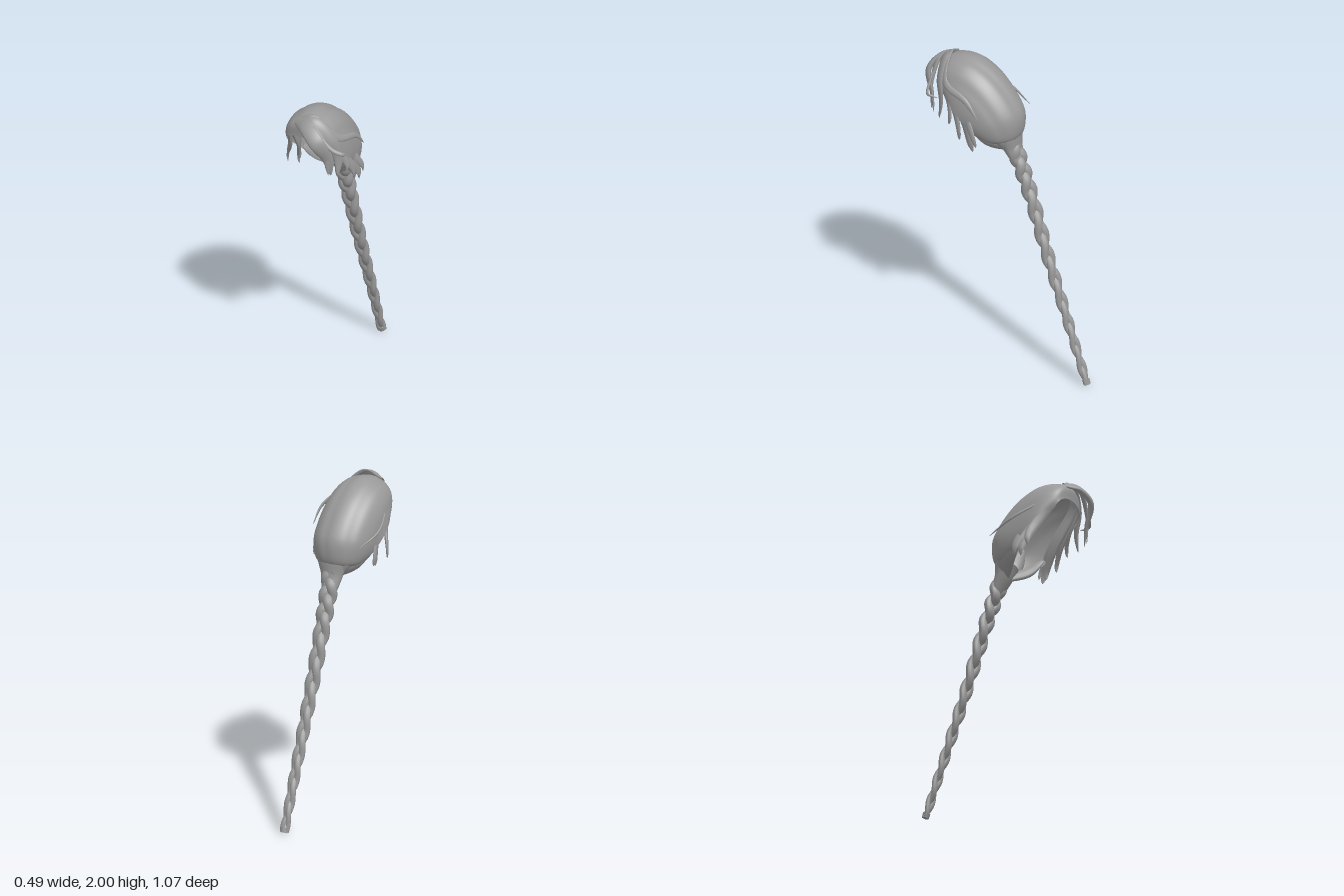
import * as THREE from 'three';

const V = (x, y, z) => new THREE.Vector3(x, y, z);
const curve = (...pts) => new THREE.CatmullRomCurve3(pts);
const HEAD = V(-0.01, 1.7, 0.2);

// Smooth surface from a grid of points, f(u, v) with u and v in 0..1
function surface(f, nu, nv) {
  const pos = [], idx = [];
  for (let i = 0; i <= nu; i++) {
    for (let j = 0; j <= nv; j++) {
      const p = f(i / nu, j / nv);
      pos.push(p.x, p.y, p.z);
      if (i < nu && j < nv) {
        const a = i * (nv + 1) + j, b = a + nv + 1;
        idx.push(a, a + 1, b, b, a + 1, b + 1);
      }
    }
  }
  const g = new THREE.BufferGeometry();
  g.setAttribute('position', new THREE.Float32BufferAttribute(pos, 3));
  g.setIndex(idx);
  g.computeVertexNormals();
  return g;
}

// Oval tube along a path; its flat side faces away from the head or along a given direction
function sweep(path, width, thick, nu, nv, facing) {
  return surface((u, v) => {
    const p = path.getPoint(u), t = path.getTangent(u);
    const n = facing ? facing.clone() : p.clone().sub(HEAD);
    n.addScaledVector(t, -n.dot(t)).normalize();
    const s = n.clone().cross(t);
    const a = v * Math.PI * 2;
    return p.addScaledVector(s, Math.cos(a) * width(u)).addScaledVector(n, Math.sin(a) * thick(u));
  }, nu, nv);
}

export function createModel() {
  const root = new THREE.Group();
  root.name = 'braidedHair';
  const hair = new THREE.MeshStandardMaterial({ color: 0x999999, side: THREE.DoubleSide });
  hair.name = 'hairGrey';
  const add = (name, geo, parent = root) => {
    const m = new THREE.Mesh(geo, hair);
    m.name = name;
    parent.add(m);
    return m;
  };
  const group = (name) => {
    const g = new THREE.Group();
    g.name = name;
    root.add(g);
    return g;
  };

  // Scalp shell: arcs spanning from the ridge line over the head down to the side hairline
  const ridge = curve(V(0, 1.855, 0.455), V(0, 1.94, 0.45), V(0, 1.98, 0.36), V(0, 1.975, 0.25),
    V(0, 1.89, 0.1), V(0, 1.71, -0.045), V(0, 1.62, -0.062), V(0, 1.53, -0.04), V(0, 1.5, 0.05));
  const edge = curve(V(0.14, 1.77, 0.4), V(0.185, 1.73, 0.33), V(0.2, 1.67, 0.26),
    V(0.18, 1.58, 0.17), V(0.13, 1.51, 0.11));
  add('scalpShell', surface((u, v) => {
    const S = ridge.getPoint(u), E = edge.getPoint(u);
    const a = (v - 0.5) * Math.PI;
    const c = Math.pow(Math.max(Math.cos(a), 0), 0.85 - 0.25 * Math.pow(1 - u, 6));
    const ripple = 1 - 0.02 * Math.pow(Math.sin(a * 4 + u * 2), 6) * Math.sin(u * Math.PI);
    return V(-0.01 + E.x * Math.sin(a) * ripple,
      E.y + (S.y - E.y) * c * ripple, E.z + (S.z - E.z) * c * ripple);
  }, 48, 48));

  // Gathered nape leading into the braid
  const gather = curve(V(-0.01, 1.535, 0.015), V(-0.015, 1.46, -0.002), V(-0.022, 1.36, -0.045));
  add('napeGather', sweep(gather,
    (u) => 0.1 - 0.055 * u, (u) => 0.062 - 0.03 * u, 16, 24, V(0, 0.3, -1)));

  // Three strand braid, tapering towards the tip
  const braid = group('braid');
  const spine = curve(V(-0.015, 1.49, 0.0), V(-0.025, 1.2, -0.105), V(-0.025, 0.8, -0.235),
    V(-0.025, 0.4, -0.375), V(-0.027, 0.01, -0.51));
  const back = V(0, 0.33, -0.94);
  const taper = (u) => 1 - 0.52 * u;
  for (let k = 0; k < 3; k++) {
    const pts = [];
    for (let i = 0; i <= 90; i++) {
      const u = i / 90, t = u * Math.PI * 2 * 3.9 + k * Math.PI * 2 / 3;
      const p = spine.getPoint(u);
      p.x += 0.027 * taper(u) * Math.sin(t);
      pts.push(p.addScaledVector(back, 0.017 * taper(u) * Math.sin(2 * t)));
    }
    add('braidStrand', sweep(curve(...pts),
      (u) => 0.033 * taper(u), (u) => 0.03 * taper(u), 150, 12, back), braid);
  }
  const tip = add('braidTip', new THREE.CylinderGeometry(0.023, 0.021, 0.03, 12));
  tip.position.set(-0.027, 0.019, -0.508);
  tip.rotation.x = 0.33;

  // Flat locks of loose hair, broad in the middle and pointed at the tip
  const locks = group('looseLocks');
  const shape = (u) => Math.pow(Math.sin(Math.PI * (0.1 + 0.9 * u)), 0.6) * (1 - 0.2 * u) + 0.01;
  const addLock = (name, w, path) => add(name,
    sweep(path, (u) => w * shape(u), (u) => (0.004 + w * 0.28) * shape(u), 32, 10), locks);

  // Fringe swept from the parting across to the left
  const parting = V(-0.07, 1.945, 0.43);
  addLock('frontFringe', 0.05, curve(parting, V(0.02, 1.945, 0.48), V(0.105, 1.88, 0.512), V(0.15, 1.76, 0.46), V(0.16, 1.64, 0.44)));
  addLock('middleFringe', 0.045, curve(parting, V(0.04, 1.965, 0.43), V(0.14, 1.86, 0.41), V(0.175, 1.74, 0.38), V(0.18, 1.62, 0.39)));
  addLock('innerFringe', 0.035, curve(parting, V(0.03, 1.955, 0.47), V(0.13, 1.84, 0.47), V(0.155, 1.65, 0.46)));
  addLock('longFringe', 0.024, curve(parting, V(0.03, 1.985, 0.41), V(0.16, 1.86, 0.36), V(0.195, 1.8, 0.2), V(0.2, 1.7, 0.11)));
  addLock('frontCurl', 0.014, curve(V(0.08, 1.93, 0.47), V(0.18, 1.83, 0.46), V(0.24, 1.8, 0.43), V(0.22, 1.78, 0.38)));

  // Side locks fall from the front hairline, curving around the head to a hooked tip
  const sideLock = (name, w, tipX, tipY, tipZ) => {
    const side = Math.sign(tipX), pts = [];
    for (let i = 0; i <= 8; i++) {
      const t = i / 8;
      const x = 0.07 + (Math.abs(tipX) - 0.07) * Math.pow(Math.sin(t * Math.PI / 2), 0.8);
      const wave = 0.012 * Math.sin(t * Math.PI * 2);
      const hook = 0.03 * Math.pow(t, 6);
      pts.push(V(side * (x + 0.01 * Math.sin(t * 9)), 1.93 + (tipY - 1.93) * t + wave,
        0.425 + (tipZ - 0.425) * (t - hook) + wave + hook));
    }
    addLock(name, w, curve(...pts));
  };
  sideLock('leftLongLock', 0.045, 0.185, 1.47, 0.11);
  sideLock('leftInnerLock', 0.04, 0.17, 1.48, 0.14);
  sideLock('leftBackLock', 0.035, 0.195, 1.51, 0.08);
  sideLock('leftMiddleLock', 0.035, 0.195, 1.53, 0.2);
  sideLock('leftShortLock', 0.03, 0.19, 1.61, 0.28);
  sideLock('rightLongLock', 0.045, -0.195, 1.5, 0.12);
  sideLock('rightOuterLock', 0.038, -0.22, 1.53, 0.23);
  sideLock('rightInnerLock', 0.038, -0.18, 1.49, 0.16);
  addLock('rightWisp', 0.009, curve(V(-0.16, 1.84, 0.36), V(-0.235, 1.72, 0.16), V(-0.205, 1.65, 0.0)));

  // Bands combed around the nape into the braid, sunk into the shell at their upper ends
  const bands = group('napeBands');
  const swell = (u) => Math.pow(Math.sin(Math.PI * (0.05 + 0.75 * u)), 0.7);
  for (const s of [-1, 1]) {
    const at = (x, y, z) => V(x * s - 0.01, y, z);
    const upper = curve(at(0.125, 1.68, 0.06), at(0.105, 1.58, 0.025), at(0.03, 1.46, -0.005));
    add('upperBand', sweep(upper, (u) => 0.045 * swell(u), (u) => 0.024 * swell(u), 24, 12), bands);
    const under = curve(at(0.165, 1.6, 0.17), at(0.12, 1.525, 0.09), at(0.02, 1.46, 0.01));
    add('underBand', sweep(under, (u) => 0.045 * swell(u), (u) => 0.022 * swell(u), 24, 12), bands);
  }
  return root;
}
